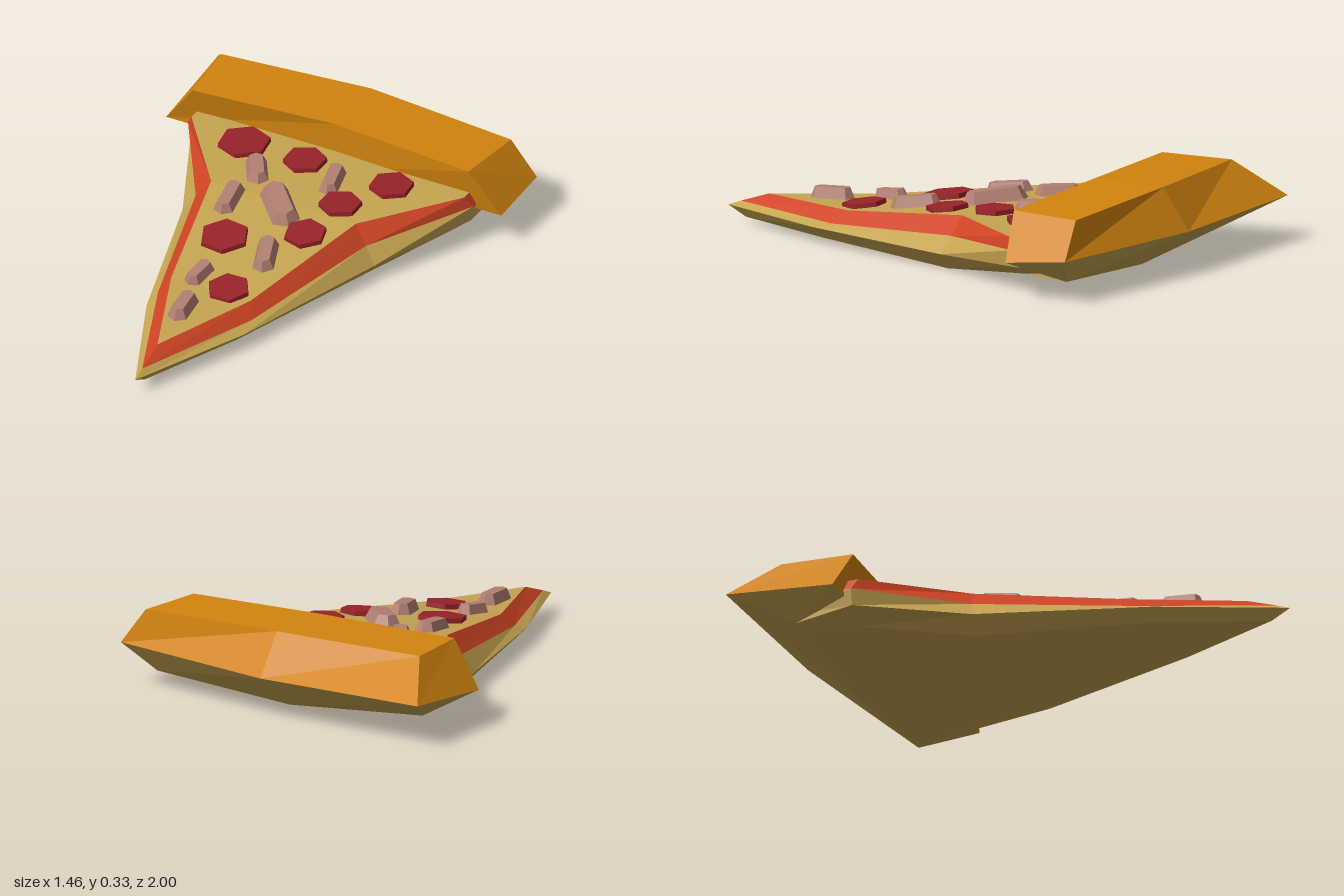
import * as THREE from 'three';

const mat = (name, color) => {
  const m = new THREE.MeshStandardMaterial({ color });
  m.name = name;
  return m;
};

// Flat-faced geometry from a list of quads or triangles (counter-clockwise corners)
function facets(faces) {
  const pos = [];
  for (const f of faces)
    for (let i = 1; i < f.length - 1; i++) pos.push(...f[0], ...f[i], ...f[i + 1]);
  const g = new THREE.BufferGeometry();
  g.setAttribute('position', new THREE.Float32BufferAttribute(pos, 3));
  g.computeVertexNormals();
  return g;
}

const mirror = ([x, y, z]) => [-x, y, z];

export function createModel() {
  const dough = mat('dough tan', 0xc6a450);
  const crustMat = mat('baked crust orange', 0xd2840f);
  const sauceMat = mat('sauce red', 0xd04424);
  const pepperoniMat = mat('pepperoni dark red', 0x98222a);
  const sausageMat = mat('sausage pink brown', 0xb37f72);

  const model = new THREE.Group();
  const add = (name, geometry, material) => {
    const mesh = new THREE.Mesh(geometry, material);
    mesh.name = name;
    model.add(mesh);
    return mesh;
  };

  // Slice: half outlines from the tip to the back, bottom to top
  const bottomCentre = [[0, 0.03, 0.92], [0, 0.025, 0.5], [0, 0.005, -0.13], [0, 0.01, -0.55], [0, 0.02, -0.77]];
  const bottom = [[0, 0.03, 0.92], [0.17, 0.025, 0.5], [0.35, 0.005, -0.13], [0.5, 0.055, -0.55], [0.6, 0.065, -0.77]];
  const edge = [[0, 0.07, 0.995], [0.21, 0.07, 0.52], [0.41, 0.07, -0.13], [0.6, 0.1, -0.54], [0.6, 0.1, -0.77]];
  const sauceLow = [[0, 0.09, 0.94], [0.2, 0.09, 0.45], [0.365, 0.135, -0.15], [0.61, 0.165, -0.54], [0.6, 0.165, -0.77]];
  const cheese = [[0, 0.13, 0.82], [0.17, 0.14, 0.4], [0.31, 0.205, -0.17], [0.585, 0.21, -0.52], [0.58, 0.21, -0.77]];
  const cheeseCentre = cheese.map(([, y, z]) => [0, y, z]);

  const strip = (low, high) => {
    const faces = [];
    for (let i = 0; i < low.length - 1; i++) {
      const q = [low[i], low[i + 1], high[i + 1], high[i]];
      faces.push(q, q.map(mirror).reverse());
    }
    return facets(faces);
  };
  add('doughUnderside', strip(bottomCentre, bottom), dough);
  add('doughLowerSide', strip(bottom, edge), dough);
  add('doughUpperSide', strip(edge, sauceLow), dough);
  add('sauceBand', strip(sauceLow, cheese), sauceMat);
  add('cheeseTop', strip(cheese, cheeseCentre), dough);

  // Crust: cross-sections front top, back top, back, bottom, front bottom
  const sections = [
    [[-0.59, 0.315, -0.54], [-0.62, 0.31, -0.82], [-0.73, 0.17, -1], [-0.6, 0.065, -0.77], [-0.72, 0.14, -0.57]],
    [[0, 0.33, -0.57], [0, 0.325, -0.86], [0, 0.165, -0.97], [0, 0.02, -0.77], [0, 0.14, -0.57]],
    [[0.59, 0.315, -0.54], [0.62, 0.31, -0.82], [0.725, 0.17, -0.83], [0.6, 0.065, -0.77], [0.715, 0.14, -0.57]],
  ];
  const baked = [], under = [];
  for (let k = 0; k < 2; k++)
    for (let j = 0; j < 5; j++) {
      const a = sections[k], b = sections[k + 1], n = (j + 1) % 5;
      (j === 2 || j === 3 ? under : baked).push([a[j], b[j], b[n], a[n]]);
    }
  // Crust ends
  const [l, , r] = sections;
  baked.push([r[0], r[4], r[2], r[1]], [l[0], l[1], l[2], l[4]]);
  under.push([r[4], r[3], r[2]], [l[4], l[2], l[3]]);
  add('crust', facets(baked), crustMat);
  add('crustUnderside', facets(under), dough);

  // Lay a topping on the sloping cheese
  const place = (mesh, x, z, yaw, lift) => {
    const i = z > 0.4 ? 0 : z > -0.17 ? 1 : 2;
    const [, y0, z0] = cheese[i], [, y1, z1] = cheese[i + 1];
    const slope = (y1 - y0) / (z1 - z0);
    mesh.position.set(x, y0 + slope * (z - z0) + lift, z);
    mesh.rotation.set(-Math.atan(slope), yaw, 0);
  };

  // Pepperoni: x, z, radius, turn
  for (const [x, z, radius, yaw] of [
    [-0.32, -0.45, 0.103, 0.15], [-0.06, -0.45, 0.085, 0], [0.31, -0.45, 0.087, 0.1],
    [0.2, -0.25, 0.084, 0], [0.17, -0.03, 0.084, 0.25], [-0.1, 0.11, 0.098, 0.4], [0.065, 0.38, 0.085, 0.55],
  ]) place(add('pepperoni', new THREE.CylinderGeometry(radius * 0.97, radius, 0.024, 6).toNonIndexed(), pepperoniMat), x, z, yaw, 0.006);

  // Sausage chunks: x, z, half width, half length, height, turn
  for (const [x, z, w, len, h, yaw] of [
    [-0.19, -0.31, 0.042, 0.092, 0.04, 0.55], [0.095, -0.38, 0.038, 0.095, 0.04, 0.25],
    [-0.195, -0.1, 0.04, 0.096, 0.04, 0.15], [0, -0.14, 0.056, 0.13, 0.05, 0.75],
    [0.095, 0.145, 0.042, 0.1, 0.045, 0.35], [-0.08, 0.345, 0.034, 0.075, 0.04, -0.1],
    [-0.03, 0.565, 0.04, 0.09, 0.045, 0.12],
  ]) {
    const radius = w / 0.866;
    const g = new THREE.CylinderGeometry(radius * 0.6, radius, h, 6).toNonIndexed();
    const p = g.attributes.position;
    for (let i = 0; i < p.count; i++) {
      const pz = p.getZ(i);
      if (Math.abs(pz) > 1e-4) p.setZ(i, pz + Math.sign(pz) * (len - radius));
    }
    g.computeVertexNormals();
    place(add('sausageChunk', g, sausageMat), x, z, yaw, h * 0.4);
  }

  // Flat facets on the pepperoni rims
  model.traverse((o) => o.isMesh && o.geometry.computeVertexNormals());
  return model;
}
